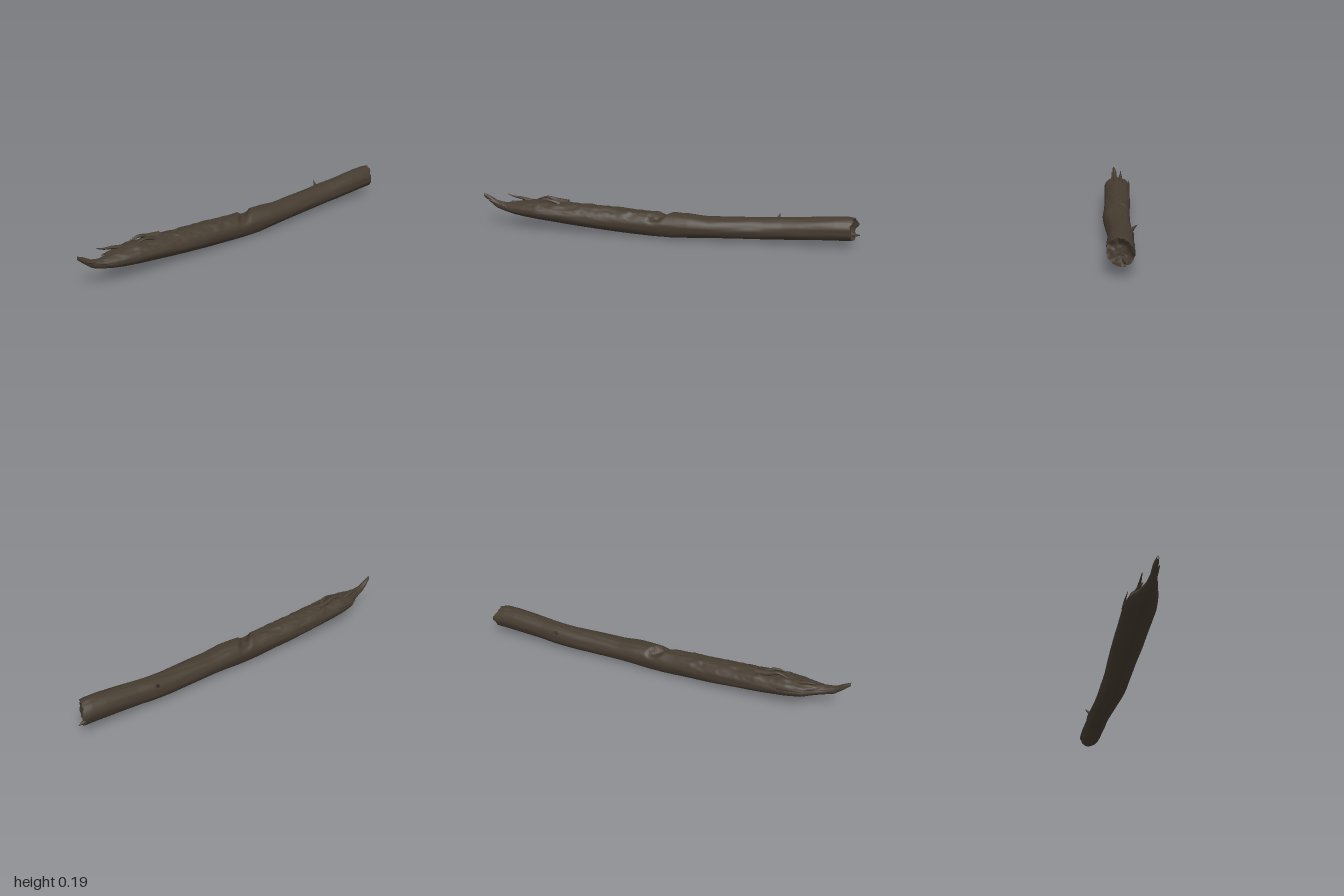
import * as THREE from 'three';

// Cross-section limits along the log: x, bottom y, top y, back z, front z
const KEYS = [
  [-1.0, 0.17, 0.188, -0.002, 0.01],
  [-0.97, 0.142, 0.175, -0.012, 0.013],
  [-0.93, 0.108, 0.15, -0.016, 0.018],
  [-0.88, 0.092, 0.14, -0.025, 0.03],
  [-0.83, 0.08, 0.142, -0.045, 0.045],
  [-0.78, 0.07, 0.15, -0.075, 0.056],
  [-0.7, 0.058, 0.158, -0.086, 0.066],
  [-0.5, 0.034, 0.152, -0.08, 0.067],
  [-0.3, 0.016, 0.143, -0.074, 0.07],
  [-0.07, 0.003, 0.134, -0.06, 0.076],
  [0.05, 0.002, 0.137, -0.055, 0.082],
  [0.12, 0.008, 0.135, -0.054, 0.084],
  [0.22, 0.014, 0.126, -0.051, 0.08],
  [0.5, 0.019, 0.133, -0.055, 0.066],
  [0.6, 0.024, 0.14, -0.055, 0.066],
  [0.68, 0.028, 0.146, -0.047, 0.071],
  [0.86, 0.038, 0.163, -0.044, 0.076],
  [0.93, 0.041, 0.166, -0.041, 0.076],
  [0.97, 0.043, 0.16, -0.04, 0.075],
];

const { smoothstep, lerp } = THREE.MathUtils;

// Limits of the log at any x
function limits(x) {
  let i = 0;
  while (i < KEYS.length - 2 && x > KEYS[i + 1][0]) i++;
  const a = KEYS[i], b = KEYS[i + 1];
  const t = (x - a[0]) / (b[0] - a[0]);
  return a.map((v, k) => lerp(v, b[k], t));
}

// Seeded smooth noise, from -1 to 1
function hash(i, j, k) {
  const s = Math.sin(i * 127.1 + j * 311.7 + k * 74.7) * 43758.5453;
  return (s - Math.floor(s)) * 2 - 1;
}
function noise(x, y, z) {
  const i = Math.floor(x), j = Math.floor(y), k = Math.floor(z);
  const f = (v) => v * v * (3 - 2 * v);
  const u = f(x - i), v = f(y - j), w = f(z - k);
  const row = (b, c) => lerp(hash(i, b, c), hash(i + 1, b, c), u);
  return lerp(lerp(row(j, k), row(j + 1, k), v), lerp(row(j, k + 1), row(j + 1, k + 1), v), w);
}

// Closed skin through rings of points, running towards +x
function loft(rings, sides, point) {
  const pos = [], index = [];
  for (let r = 0; r < rings; r++) {
    for (let s = 0; s < sides; s++) pos.push(...point(r, (s / sides) * Math.PI * 2));
  }
  for (let r = 0; r < rings - 1; r++) {
    for (let s = 0; s < sides; s++) {
      const a = r * sides + s, b = r * sides + ((s + 1) % sides);
      const c = a + sides, d = b + sides;
      index.push(a, c, b, b, c, d);
    }
  }
  const geo = new THREE.BufferGeometry();
  geo.setAttribute('position', new THREE.Float32BufferAttribute(pos, 3));
  geo.setIndex(index);
  geo.computeVertexNormals();
  return geo;
}

// A point on the bark
function bark(x, a) {
  const [, yb, yt, zb, zf] = limits(x);
  const c = Math.cos(a), s = Math.sin(a);
  const up = smoothstep(s, 0.1, 0.9);
  const rotten = up * smoothstep(-x, 0.02, 0.25);
  // Long grain everywhere, torn wood on the upper left half
  let k = 1 + 0.035 * noise(x * 5, c * 3, s * 3) + 0.025 * noise(x * 9, c * 9, s * 9) * smoothstep(s, -0.5, 0.3);
  k += rotten * (0.07 * noise(x * 22, c * 7, s * 7) + 0.05 * noise(x * 50, c * 12, s * 12));
  // Slanted break across the top, and a shallow crack along it
  const notch = Math.abs(x + 0.02 + 0.05 * c);
  k -= 0.42 * up * up * (1 - smoothstep(notch, 0.005, 0.045));
  k -= 0.07 * (1 - smoothstep(Math.abs(a - 1.9 - 0.25 * Math.sin(x * 7)), 0, 0.12)) * smoothstep(x, -0.6, 0);
  return [x, (yb + yt) / 2 + ((yt - yb) / 2) * s * k, (zb + zf) / 2 + ((zf - zb) / 2) * c * k];
}

// Tapering bent sliver through the given points
function sliver(points, radius, flat = 1) {
  const curve = new THREE.CatmullRomCurve3(points.map((p) => new THREE.Vector3(...p)));
  const rows = 12, sides = 8;
  const geo = new THREE.TubeGeometry(curve, rows, radius, sides, false);
  const pos = geo.attributes.position, v = new THREE.Vector3();
  for (let i = 0; i < pos.count; i++) {
    const t = Math.floor(i / (sides + 1)) / rows;
    const mid = curve.getPointAt(t);
    v.fromBufferAttribute(pos, i).sub(mid).multiplyScalar(1 - 0.9 * t);
    v.z *= flat;
    v.add(mid);
    pos.setXYZ(i, v.x, v.y, v.z);
  }
  geo.computeVertexNormals();
  return geo;
}

export function createModel() {
  const group = new THREE.Group();
  const wood = new THREE.MeshStandardMaterial({ color: 0x453b30, side: THREE.DoubleSide });
  wood.name = 'dark weathered wood';
  const add = (name, geo) => {
    const mesh = new THREE.Mesh(geo, wood);
    mesh.name = name;
    group.add(mesh);
  };

  // Trunk, with a ragged slanted edge at the right end
  const rings = 240, sides = 48;
  const endX = (a) => 0.962 - 0.02 * Math.cos(a) + 0.013 * noise(3, Math.cos(a) * 4, Math.sin(a) * 4);
  add('trunk', loft(rings, sides, (r, a) => {
    const t = r / (rings - 1);
    return bark(lerp(-1, endX(a), t), a);
  }));

  // Hollowed broken face at the right end
  const capRows = 9;
  add('brokenEnd', loft(capRows, sides, (r, a) => {
    const t = r / (capRows - 1);
    const [x, y, z] = bark(endX(a), a);
    const rough = 0.008 * noise(t * 6, Math.cos(a) * t * 4, Math.sin(a) * t * 4) * (1 - t);
    const px = lerp(x, 0.945, smoothstep(t, 0, 0.5)) + rough * Math.sin(t * Math.PI);
    return [px, lerp(y, 0.102, t), lerp(z, 0.018, t)];
  }));

  // Point closing the thin left tip
  add('tip', loft(2, 12, (r, a) => {
    const [x, y, z] = bark(-1, a);
    return r ? [x, y, z] : [-1, 0.179, 0.004];
  }));

  // Torn slivers around the left end
  const slivers = [
    ['upperSplinter', [[-0.74, 0.142, -0.03], [-0.8, 0.158, -0.034], [-0.84, 0.163, -0.036], [-0.88, 0.176, -0.037]], 0.014],
    ['backSplinter', [[-0.66, 0.118, -0.077], [-0.72, 0.124, -0.082], [-0.79, 0.128, -0.083]], 0.014, 0.6],
    ['tornRidge', [[-0.54, 0.146, -0.025], [-0.61, 0.16, -0.03], [-0.65, 0.172, -0.03], [-0.71, 0.158, -0.035]], 0.02],
    ['raisedFlake', [[-0.58, 0.148, 0.0], [-0.64, 0.168, 0.008], [-0.7, 0.158, 0.01]], 0.013],
    ['frontSplinter', [[-0.78, 0.105, 0.035], [-0.84, 0.112, 0.032], [-0.9, 0.128, 0.024]], 0.016],
    ['tongueSplinter', [[-0.86, 0.115, 0.005], [-0.93, 0.138, 0.012], [-0.975, 0.158, 0.017]], 0.016],
    ['middleSplinter', [[-0.76, 0.12, -0.05], [-0.81, 0.13, -0.045], [-0.86, 0.138, -0.03]], 0.016],
  ];
  for (const [name, points, radius, flat] of slivers) add(name, sliver(points, radius, flat));

  // Twig stub at the back, and a loose shard on the right end
  add('twigStub', sliver([[0.58, 0.11, -0.04], [0.585, 0.125, -0.054], [0.59, 0.138, -0.068]], 0.011));
  add('endShard', sliver([[0.93, 0.066, 0.0], [0.97, 0.064, -0.004], [0.998, 0.062, -0.01]], 0.02));
  return group;
}
